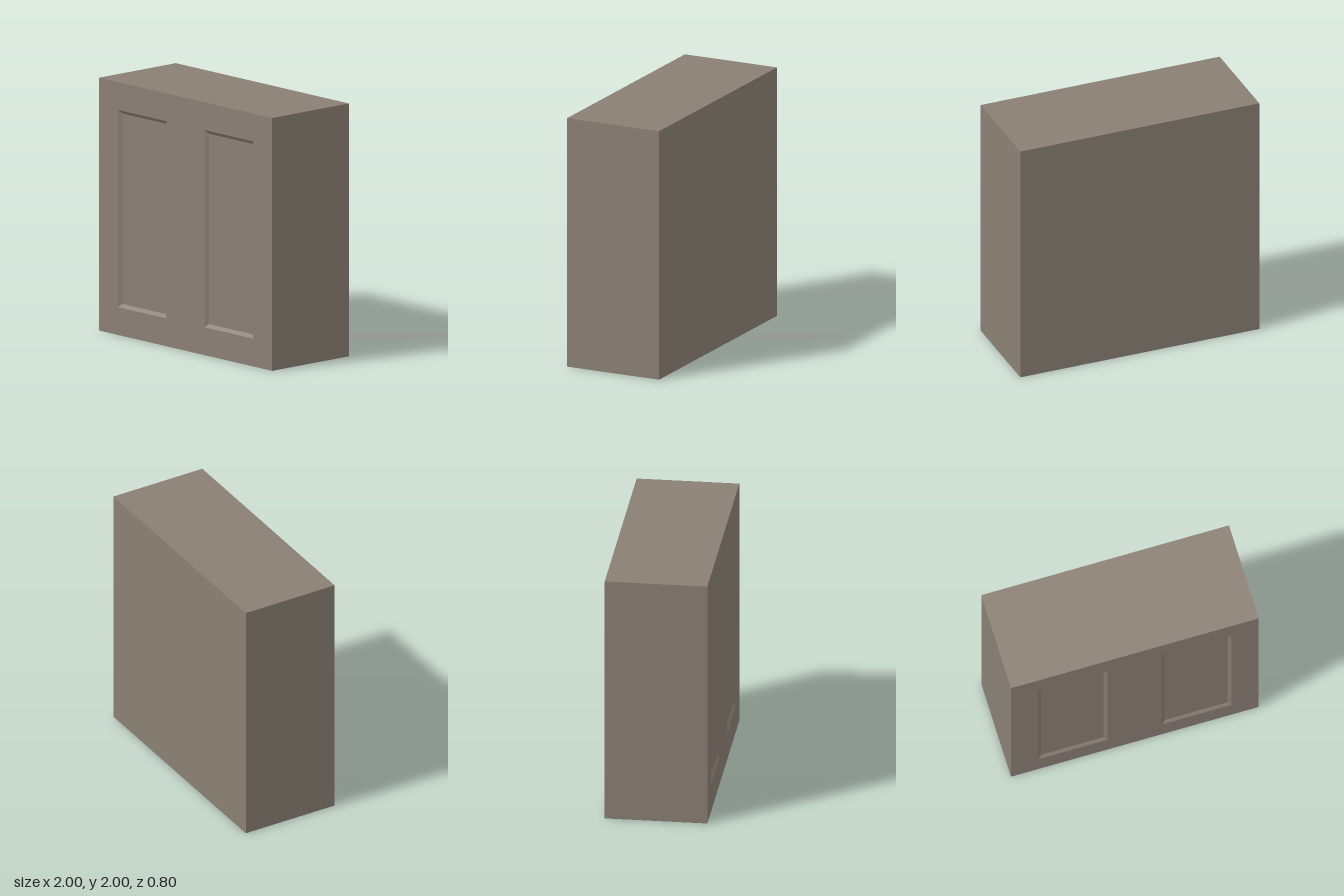
import * as THREE from 'three';

const W = 2, H = 2, D = 0.8;            // cabinet block
const PW = 0.56, PH = 1.56, PX = 0.5;   // panel opening and its offset from the middle
const BEVEL = 0.027, DEPTH = 0.02;      // sloped border of each recess

// Corners of a rectangle centred on (cx, cy), counter-clockwise from the front
function corners(w, h, cx = 0, cy = 0) {
  return [[-1, -1], [1, -1], [1, 1], [-1, 1]]
    .map(([sx, sy]) => new THREE.Vector2(cx + sx * w / 2, cy + sy * h / 2));
}

// Four mitred slopes running from the opening down to the panel floor
function bevelGeometry() {
  const outer = corners(PW, PH);
  const inner = corners(PW - 2 * BEVEL, PH - 2 * BEVEL);
  const pos = [];
  for (let i = 0; i < 4; i++) {
    const j = (i + 1) % 4;
    const a = [outer[i].x, outer[i].y, 0], b = [outer[j].x, outer[j].y, 0];
    const c = [inner[j].x, inner[j].y, -DEPTH], d = [inner[i].x, inner[i].y, -DEPTH];
    pos.push(...a, ...b, ...c, ...a, ...c, ...d);
  }
  const geo = new THREE.BufferGeometry();
  geo.setAttribute('position', new THREE.Float32BufferAttribute(pos, 3));
  geo.computeVertexNormals();
  return geo;
}

export function createModel() {
  const group = new THREE.Group();
  const material = new THREE.MeshStandardMaterial({ color: 0x8a7f74 });

  const add = (parent, name, geometry, x, y, z) => {
    const mesh = new THREE.Mesh(geometry, material);
    mesh.name = name;
    mesh.position.set(x, y, z);
    parent.add(mesh);
  };

  // Body: a box without its front side
  const body = new THREE.BoxGeometry(W, H, D);
  const index = Array.from(body.index.array);
  index.splice(24, 6);
  body.setIndex(index);
  body.clearGroups();
  add(group, 'body', body, 0, H / 2, 0);

  // Front face with two rectangular openings
  const face = new THREE.Shape(corners(W, H));
  for (const side of [-1, 1]) {
    face.holes.push(new THREE.Path(corners(PW, PH, side * PX).reverse()));
  }
  add(group, 'frontFace', new THREE.ShapeGeometry(face), 0, H / 2, D / 2);

  // Recessed panels
  for (const [side, name] of [[-1, 'rightPanel'], [1, 'leftPanel']]) {
    const panel = new THREE.Group();
    panel.name = name;
    panel.position.set(side * PX, H / 2, D / 2);
    add(panel, name + 'Bevel', bevelGeometry(), 0, 0, 0);
    add(panel, name + 'Floor', new THREE.PlaneGeometry(PW - 2 * BEVEL, PH - 2 * BEVEL), 0, 0, -DEPTH);
    group.add(panel);
  }

  return group;
}
